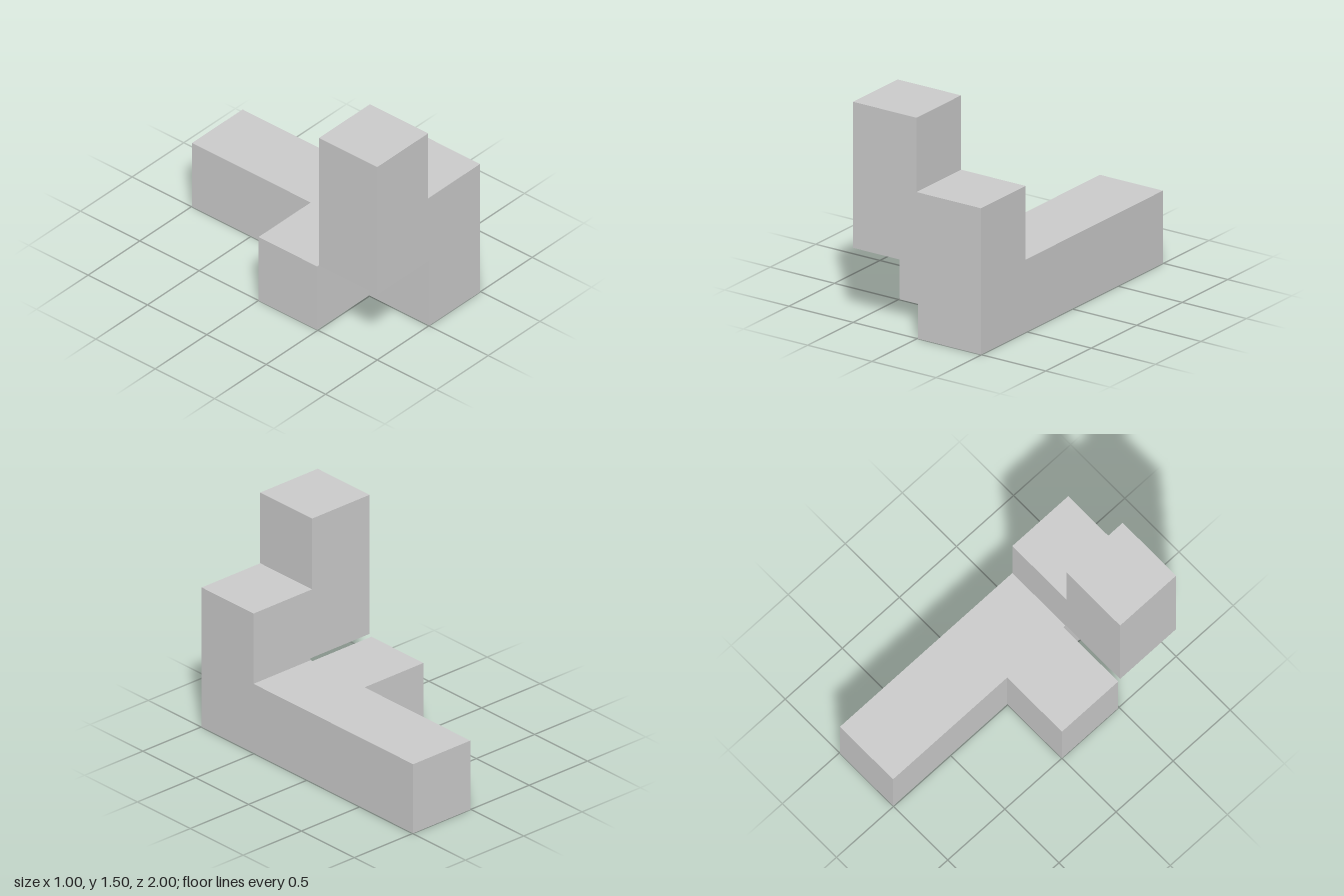
import * as THREE from 'three';

const material = new THREE.MeshStandardMaterial({ color: 0xcccccc, flatShading: true });

// Straight-sided block from an outline
function extrude(name, points, depth) {
  const shape = new THREE.Shape(points.map(([x, y]) => new THREE.Vector2(x, y)));
  const geometry = new THREE.ExtrudeGeometry(shape, { depth, bevelEnabled: false });
  const mesh = new THREE.Mesh(geometry, material);
  mesh.name = name;
  return mesh;
}

export function createModel() {
  const group = new THREE.Group();
  group.name = 'puzzlePiece';

  // Upright stepped front: post, with a raised block overhanging to one side
  const front = extrude('steppedFront', [
    [0.005, 0], [0.495, 0], [0.495, 0.995], [-0.007, 0.995],
    [-0.007, 1.5], [-0.5, 1.5], [-0.5, 0.507], [0.005, 0.507],
  ], 0.49);
  front.position.z = 0.51;
  group.add(front);

  // Long base bar with a side arm, outlined in plan (x, -z) and laid flat
  const base = extrude('baseBarWithArm', [
    [0.005, -0.51], [0.495, -0.51], [0.495, 1], [0.005, 1],
    [0.005, 0], [-0.5, 0], [-0.5, -0.493], [0.005, -0.493],
  ], 0.493);
  base.geometry.rotateX(-Math.PI / 2);
  group.add(base);

  return group;
}
